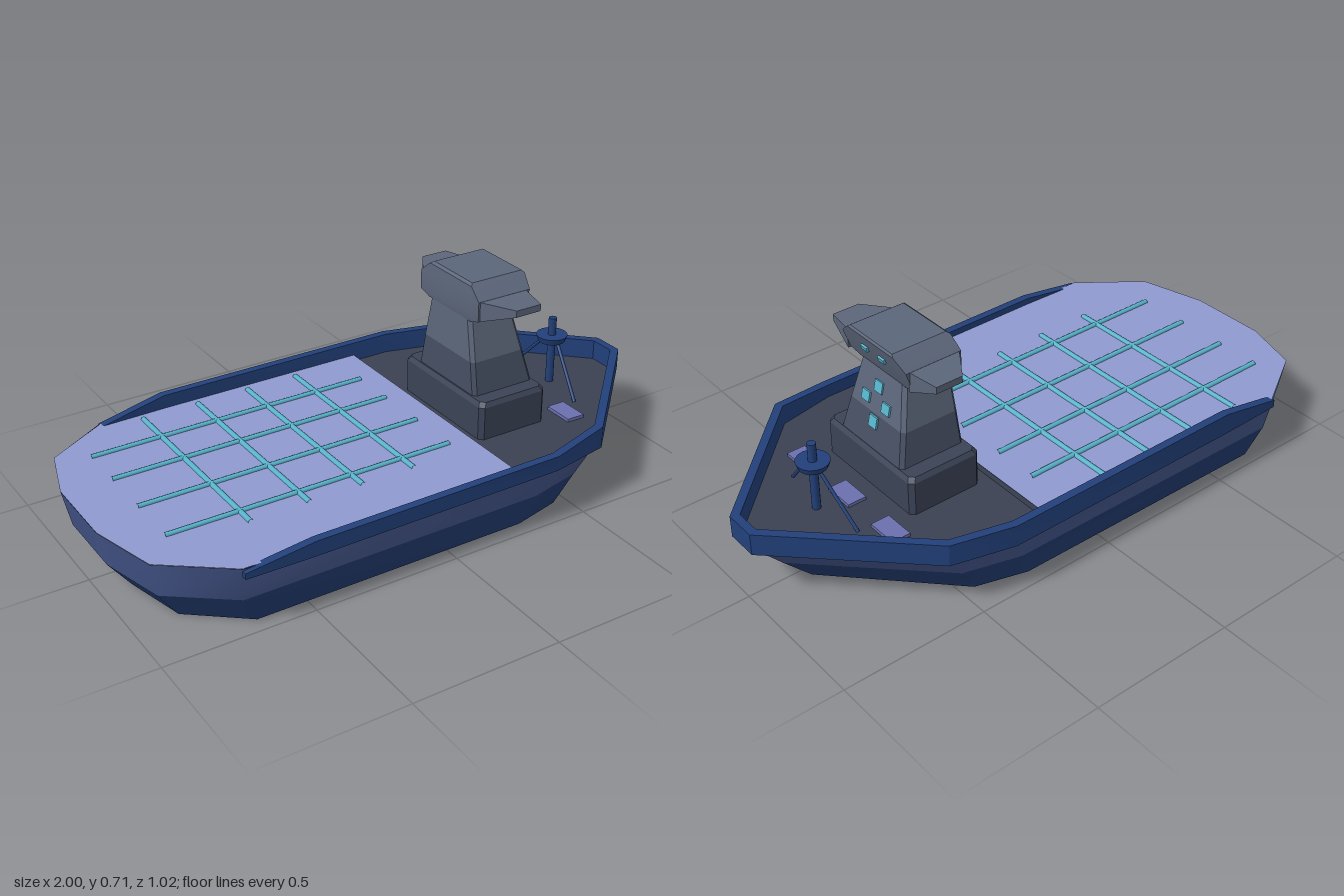
import * as THREE from 'three';
import { toCreasedNormals } from 'three/addons/utils/BufferGeometryUtils.js';

const mat = (color, side = THREE.FrontSide) => new THREE.MeshStandardMaterial({ color, side });
const NAVY = mat(0x22407a);
const HULL_LOW = mat(0x223c70, THREE.DoubleSide);
const HULL_HIGH = mat(0x44558a, THREE.DoubleSide);
const DECK = mat(0x8f99d0, THREE.DoubleSide);
const FLOOR = mat(0x3a4152, THREE.DoubleSide);
const BASE = mat(0x3b4356);
const CABIN_LOW = mat(0x454e62);
const CABIN = mat(0x5c667a);
const TEAL = mat(0x58b4cc);
const HATCH = mat(0x6a70ae);

// Skin over rings of points; rings run counter-clockwise seen from the loft end
function loft(rings, caps = true, crease = 0.3) {
  const n = rings[0].length, pos = rings.flat(2), idx = [];
  for (let i = 0; i < rings.length - 1; i++)
    for (let j = 0; j < n; j++) {
      const a = i * n + j, b = i * n + (j + 1) % n;
      idx.push(a, b, b + n, a, b + n, a + n);
    }
  if (caps) {
    const e = (rings.length - 1) * n;
    for (let j = 1; j < n - 1; j++) idx.push(0, j + 1, j, e, e + j, e + j + 1);
  }
  const g = new THREE.BufferGeometry();
  g.setAttribute('position', new THREE.Float32BufferAttribute(pos, 3));
  g.setIndex(idx);
  return toCreasedNormals(g, crease);
}

// Horizontal rectangle ring, optionally with cut corners
function rectXZ(y, x0, x1, z0, z1, c = 0) {
  if (!c) return [[x1, y, z1], [x1, y, z0], [x0, y, z0], [x0, y, z1]];
  return [[x1, y, z1 - c], [x1, y, z0 + c], [x1 - c, y, z0], [x0 + c, y, z0],
    [x0, y, z0 + c], [x0, y, z1 - c], [x0 + c, y, z1], [x1 - c, y, z1]];
}
// Upright rectangle ring facing z
const rectXY = (z, x0, x1, y0, y1) => [[x1, y0, z], [x1, y1, z], [x0, y1, z], [x0, y0, z]];

// Flat sheet from an x, z outline
function sheet(points, y) {
  const g = new THREE.ShapeGeometry(new THREE.Shape(points.map(([x, z]) => new THREE.Vector2(x, -z))));
  return g.rotateX(-Math.PI / 2).translate(0, y, 0);
}

function rod(a, b, r) {
  const p = new THREE.Vector3(...a), q = new THREE.Vector3(...b);
  return new THREE.TubeGeometry(new THREE.LineCurve3(p, q), 1, r, 8);
}

export function createModel() {
  const model = new THREE.Group();
  const add = (name, geo, material, parent = model) => {
    const m = new THREE.Mesh(geo, material);
    m.name = name;
    parent.add(m);
    return m;
  };

  // Hull: open shell, outline shrinking towards the keel
  const outline = [[-1, -0.17], [-1, 0.1], [-0.94, 0.33], [-0.73, 0.49], [0.38, 0.49], [0.58, 0.445],
    [0.985, 0.05], [0.985, -0.04], [0.58, -0.435], [0.38, -0.49], [-0.73, -0.5], [-0.94, -0.37]];
  const level = (y, xs, xb, kz) => outline.map(([x, z]) => [
    xs + (x + 1) / 1.985 * (xb - xs), y ?? (x < -0.7 ? 0.222 : 0.2), z * kz]);
  const keel = level(0, -0.9, 0.8, 0.91), chine = level(0.1, -0.975, 0.895, 0.955);
  add('hullLower', loft([keel, chine], false, 0.7), HULL_LOW);
  add('hullUpper', loft([chine, level(null, -1, 0.985, 1)], false, 0.7), HULL_HIGH);

  // Decks
  add('cargoDeck', sheet([[0.24, -0.485], [-0.73, -0.495], ...outline.slice(11), ...outline.slice(0, 4),
    [0.24, 0.485]], 0.223), DECK);
  add('foredeck', sheet([[0.24, 0.485], ...outline.slice(4, 10), [0.24, -0.485]], 0.2), FLOOR);
  add('deckStep', new THREE.BoxGeometry(0.01, 0.022, 0.96).translate(0.236, 0.211, 0), BASE);

  // Deck grid
  const grid = new THREE.Group();
  grid.name = 'deckGrid';
  model.add(grid);
  for (const z of [-0.31, -0.15, 0.035, 0.22])
    add('gridBarLong', rod([-0.84, 0.224, z], [0.16, 0.224, z], 0.009), TEAL, grid);
  for (const x of [-0.595, -0.395, -0.207, -0.02])
    add('gridBarCross', rod([x, 0.224, -0.45], [x, 0.224, 0.29], 0.009), TEAL, grid);

  // Bulwark: x, z, top height, running from right stern round the bow
  const path = [[-0.73, -0.505, 0.222], [-0.5, -0.51, 0.27], [0.38, -0.51, 0.27], [0.588, -0.455, 0.27],
    [1, -0.05, 0.27], [1, 0.06, 0.27], [0.588, 0.465, 0.27], [0.38, 0.505, 0.246],
    [-0.5, 0.51, 0.246], [-0.73, 0.505, 0.215]];
  const rings = path.map(([x, z, top], i) => {
    const a = path[Math.max(i - 1, 0)], b = path[Math.min(i + 1, path.length - 1)];
    const d1 = new THREE.Vector2(x - a[0], z - a[1]).normalize();
    const d2 = new THREE.Vector2(b[0] - x, b[1] - z).normalize();
    const t = d1.clone().add(d2).normalize();
    const k = 0.028 / Math.max(t.dot(d2.length() ? d2 : d1), 0.6);
    const xi = x - t.y * k, zi = z + t.x * k;
    return [[x, 0.195, z], [x, top, z], [xi, top, zi], [xi, 0.195, zi]];
  });
  add('bulwark', loft(rings), NAVY);

  // Cabin
  const cabin = new THREE.Group();
  cabin.name = 'cabin';
  model.add(cabin);
  add('cabinBase', loft([rectXZ(0.198, 0.278, 0.54, -0.21, 0.23, 0.015), rectXZ(0.315, 0.278, 0.54, -0.21, 0.23, 0.015),
    rectXZ(0.33, 0.288, 0.53, -0.2, 0.22, 0.015)]), BASE, cabin);
  const mid = rectXZ(0.44, 0.296, 0.503, -0.129, 0.149, 0.012);
  add('towerLower', loft([rectXZ(0.325, 0.293, 0.53, -0.15, 0.17, 0.012), mid]), CABIN_LOW, cabin);
  add('towerUpper', loft([mid, rectXZ(0.585, 0.3, 0.47, -0.1, 0.12, 0.012)]), CABIN, cabin);
  add('bridge', loft([rectXZ(0.58, 0.3, 0.468, -0.105, 0.125), rectXZ(0.595, 0.297, 0.475, -0.15, 0.17),
    rectXZ(0.662, 0.297, 0.498, -0.15, 0.17), rectXZ(0.7, 0.3, 0.51, -0.105, 0.125),
    rectXZ(0.707, 0.31, 0.505, -0.095, 0.115)]), CABIN, cabin);

  // Bridge wings
  const root = [0.3, 0.485, 0.593, 0.662], tip = [0.37, 0.465, 0.632, 0.655];
  add('leftWing', loft([rectXY(0.165, ...root), rectXY(0.27, ...tip)]), CABIN, cabin);
  add('rightWing', loft([rectXY(-0.25, ...tip), rectXY(-0.145, ...root)]), CABIN, cabin);

  // Windows: x, y, z, height, width, lean
  for (const [x, y, z, h, w, lean] of [
    [0.496, 0.652, 0.055, 0.016, 0.03, -0.3], [0.496, 0.652, -0.03, 0.016, 0.03, -0.3],
    [0.482, 0.53, 0.011, 0.037, 0.038, 0.23], [0.495, 0.479, 0.063, 0.034, 0.038, 0.23],
    [0.495, 0.479, -0.038, 0.034, 0.038, 0.23], [0.51, 0.415, 0.011, 0.038, 0.038, 0.23]]) {
    const win = add('window', new THREE.BoxGeometry(0.012, h, w), TEAL, cabin);
    win.position.set(x, y, z);
    win.rotation.z = lean;
  }

  // Foredeck hatches
  for (const z of [-0.225, 0, 0.23])
    add('hatch', new THREE.BoxGeometry(0.065, 0.012, 0.108).translate(0.63, 0.205, z), HATCH);

  // Bow mast with round platform and stays
  const mast = new THREE.Group();
  mast.name = 'bowMast';
  mast.position.set(0.735, 0, 0.01);
  model.add(mast);
  add('mastPole', new THREE.CylinderGeometry(0.014, 0.014, 0.24, 12).translate(0, 0.32, 0), NAVY, mast);
  add('mastPlatform', new THREE.CylinderGeometry(0.054, 0.046, 0.022, 16).translate(0, 0.367, 0), NAVY, mast);
  for (const s of [-1, 1])
    add('mastStay', rod([0, 0.36, s * 0.03], [-0.03, 0.2, s * 0.175], 0.006), NAVY, mast);

  return model;
}
